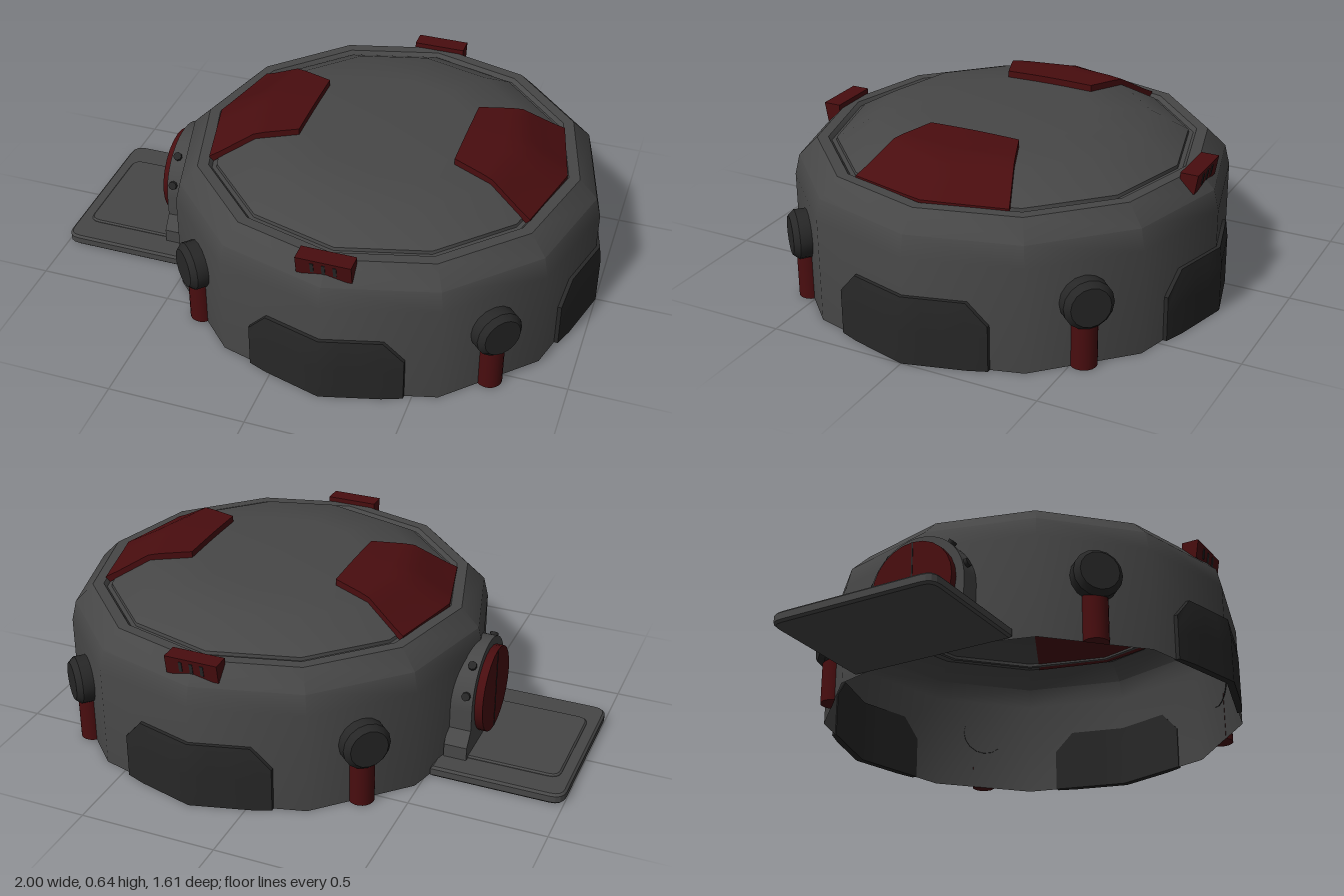
import * as THREE from 'three';
import { toCreasedNormals } from 'three/addons/utils/BufferGeometryUtils.js';

const CX = 0.194;            // centre of the round building
const TAN15 = Math.tan(Math.PI / 12);
const mat = (name, color, side = THREE.FrontSide) => {
  const m = new THREE.MeshStandardMaterial({ color, side });
  m.name = name;
  return m;
};

// Roof profile, from the rim inwards: [radius, height]
const ROOF = [[0.63, 0.52], [0.49, 0.598], [0.3, 0.612], [0, 0.618]];

// Height of the twelve-sided roof above a point
function roofY(x, z) {
  const step = Math.PI / 6;
  const a = ((Math.atan2(z, x) % step) + step) % step;
  const r = Math.hypot(x, z) * Math.cos(a - step / 2) / Math.cos(step / 2);
  for (let i = 0; i < ROOF.length - 1; i++) {
    const [r0, y0] = ROOF[i], [r1, y1] = ROOF[i + 1];
    if (r >= r1) return Math.max(0.505, y0 + (y1 - y0) * (r0 - r) / (r0 - r1));
  }
  return ROOF[3][1];
}

// Subdivided unit box whose vertices are moved by a rule
function warpedBox(sx, sy, sz, rule) {
  const g = new THREE.BoxGeometry(1, 1, 1, sx, sy, sz);
  const p = g.attributes.position;
  for (let i = 0; i < p.count; i++) p.setXYZ(i, ...rule(p.getX(i), p.getY(i), p.getZ(i)));
  g.computeVertexNormals();
  return g;
}

// Flat rectangle with its two outer (-x) corners rounded, laid on the ground
function slab(x0, x1, halfZ, radius, height, bevel) {
  const s = new THREE.Shape();
  s.moveTo(x1, -halfZ);
  s.lineTo(x1, halfZ);
  s.lineTo(x0 + radius, halfZ);
  s.quadraticCurveTo(x0, halfZ, x0, halfZ - radius);
  s.lineTo(x0, -halfZ + radius);
  s.quadraticCurveTo(x0, -halfZ, x0 + radius, -halfZ);
  const g = new THREE.ExtrudeGeometry(s, {
    depth: height - bevel, bevelEnabled: true, bevelSize: bevel, bevelOffset: -bevel,
    bevelThickness: bevel, bevelSegments: 1, curveSegments: 4,
  });
  g.rotateX(-Math.PI / 2);
  return g;
}

export function createModel() {
  const grey = mat('wall grey', 0x474747, THREE.DoubleSide);
  const dark = mat('dark panel', 0x272727);
  const red = mat('deep red', 0x490d0f);

  const root = new THREE.Group();
  root.name = 'roundBunker';
  const hub = new THREE.Group();
  hub.name = 'building';
  hub.position.x = CX;
  root.add(hub);

  const add = (parent, name, geo, material, x = 0, y = 0, z = 0) => {
    const m = new THREE.Mesh(geo, material);
    m.name = name;
    m.position.set(x, y, z);
    parent.add(m);
    return m;
  };
  // Group turned about the building axis; its local +z points outwards
  const spoke = (name, angle) => {
    const g = new THREE.Group();
    g.name = name;
    g.rotation.y = angle;
    hub.add(g);
    return g;
  };

  // Twelve-sided shell with a grooved ledge and shallow roof, open below
  const profile = [[0.785, 0], [0.785, 0.38], [0.767, 0.455], [0.7, 0.522],
    [0.66, 0.522], [0.648, 0.508], [0.632, 0.508], ...ROOF]
    .map(([r, y]) => new THREE.Vector2(r, y));
  add(hub, 'shell', toCreasedNormals(new THREE.LatheGeometry(profile, 12), 0.6), grey);

  // Roof plates that follow the roof
  const plateGeo = warpedBox(8, 1, 8, (a, b, c) => {
    const u = a + 0.5, v = c * 2;
    const x = 0.285 + u * (0.655 - 0.07 * Math.abs(v) - 0.285);
    const z = v * (0.17 + 0.12 * u);
    return [x, roofY(x, z) + (b > 0 ? 0.024 : -0.004), z];
  });
  add(hub, 'roofPlateLeft', plateGeo, red);
  add(hub, 'roofPlateRight', plateGeo, red).rotation.y = Math.PI;

  // Wall panels folded around a corner of the wall, top corners cut
  const panelGeo = warpedBox(8, 4, 1, (a, b, c) => {
    const u = a * 2, t = b + 0.5;
    const x = 0.28 * u;
    const top = 0.245 - Math.max(0, Math.abs(u) - 0.75) * 0.32;
    const out = c > 0 ? (t === 1 || Math.abs(u) === 1 ? 0.799 : 0.807) : 0.78;
    return [x, t * top, out - Math.abs(x) * TAN15];
  });
  [0, Math.PI / 2, Math.PI].forEach((angle) => add(spoke('wallPanel', angle), 'panel', panelGeo, dark));

  // Four round knobs on half-round posts
  const knobProfile = [[0.088, 0], [0.088, 0.045], [0.07, 0.066], [0, 0.066]]
    .map(([r, y]) => new THREE.Vector2(r, y));
  const knobGeo = toCreasedNormals(new THREE.LatheGeometry(knobProfile, 16).rotateX(Math.PI / 2), 0.5);
  const postGeo = new THREE.CylinderGeometry(0.046, 0.046, 0.2, 10, 1, false, -Math.PI / 2, Math.PI);
  for (let i = 0; i < 4; i++) {
    const g = spoke('cornerPost', Math.PI / 4 + i * Math.PI / 2);
    add(g, 'post', postGeo, red, 0, 0.1, 0.757);
    add(g, 'knob', knobGeo, dark, 0, 0.24, 0.755);
  }

  // Red lamps on the ledge, front and back, with three slots
  const lampGeo = warpedBox(1, 1, 1, (a, b, c) =>
    [a * 0.195, b * 0.07, c * 0.065 - (b < 0 && c > 0 ? 0.012 : 0)]);
  [0, Math.PI].forEach((angle) => {
    const g = spoke('ledgeLamp', angle);
    add(g, 'lamp', lampGeo, red, 0, 0.505, 0.711);
    [-0.04, 0, 0.04].forEach((x) => {
      const slot = add(g, 'lampSlot', new THREE.BoxGeometry(0.012, 0.04, 0.006), dark, x, 0.507, 0.737);
      slot.rotation.x = 0.17;
    });
  });

  // Doorway: arched frame with a wider foot
  const door = new THREE.Group();
  door.name = 'doorway';
  root.add(door);
  const arch = new THREE.Shape();
  arch.moveTo(-0.23, 0);
  arch.lineTo(0.23, 0);
  arch.lineTo(0.23, 0.09);
  arch.lineTo(0.19, 0.14);
  arch.lineTo(0.19, 0.22);
  arch.absarc(0, 0.22, 0.19, 0, Math.PI, false);
  arch.lineTo(-0.19, 0.14);
  arch.lineTo(-0.23, 0.09);
  const frameGeo = toCreasedNormals(
    new THREE.ExtrudeGeometry(arch, { depth: 0.085, bevelEnabled: false, curveSegments: 16 }), 0.5);
  frameGeo.rotateY(-Math.PI / 2);
  add(door, 'doorFrame', frameGeo, grey, -0.535, 0, 0);

  // Round red door with a centre seam
  const discGeo = new THREE.CylinderGeometry(0.16, 0.16, 0.035, 24).rotateZ(Math.PI / 2);
  add(door, 'roundDoor', discGeo, red, -0.632, 0.22, 0);
  add(door, 'doorSeam', new THREE.BoxGeometry(0.004, 0.315, 0.005), dark, -0.649, 0.22, 0);

  // Bolts around the arch
  const boltGeo = new THREE.CylinderGeometry(0.016, 0.016, 0.02, 8);
  [17, 50, 130, 163].forEach((deg) => {
    const a = THREE.MathUtils.degToRad(deg);
    const bolt = add(door, 'bolt', boltGeo, dark,
      -0.595, 0.22 + Math.sin(a) * 0.192, Math.cos(a) * 0.192);
    bolt.rotation.x = Math.PI / 2 - a;
  });

  // Entrance ramp with a raised centre
  add(root, 'ramp', slab(-1, -0.515, 0.315, 0.05, 0.032, 0.008), grey, 0, 0.008, 0);
  add(root, 'rampTread', slab(-0.955, -0.6, 0.21, 0.04, 0.018, 0.006), grey, 0, 0.03, 0);

  return root;
}
